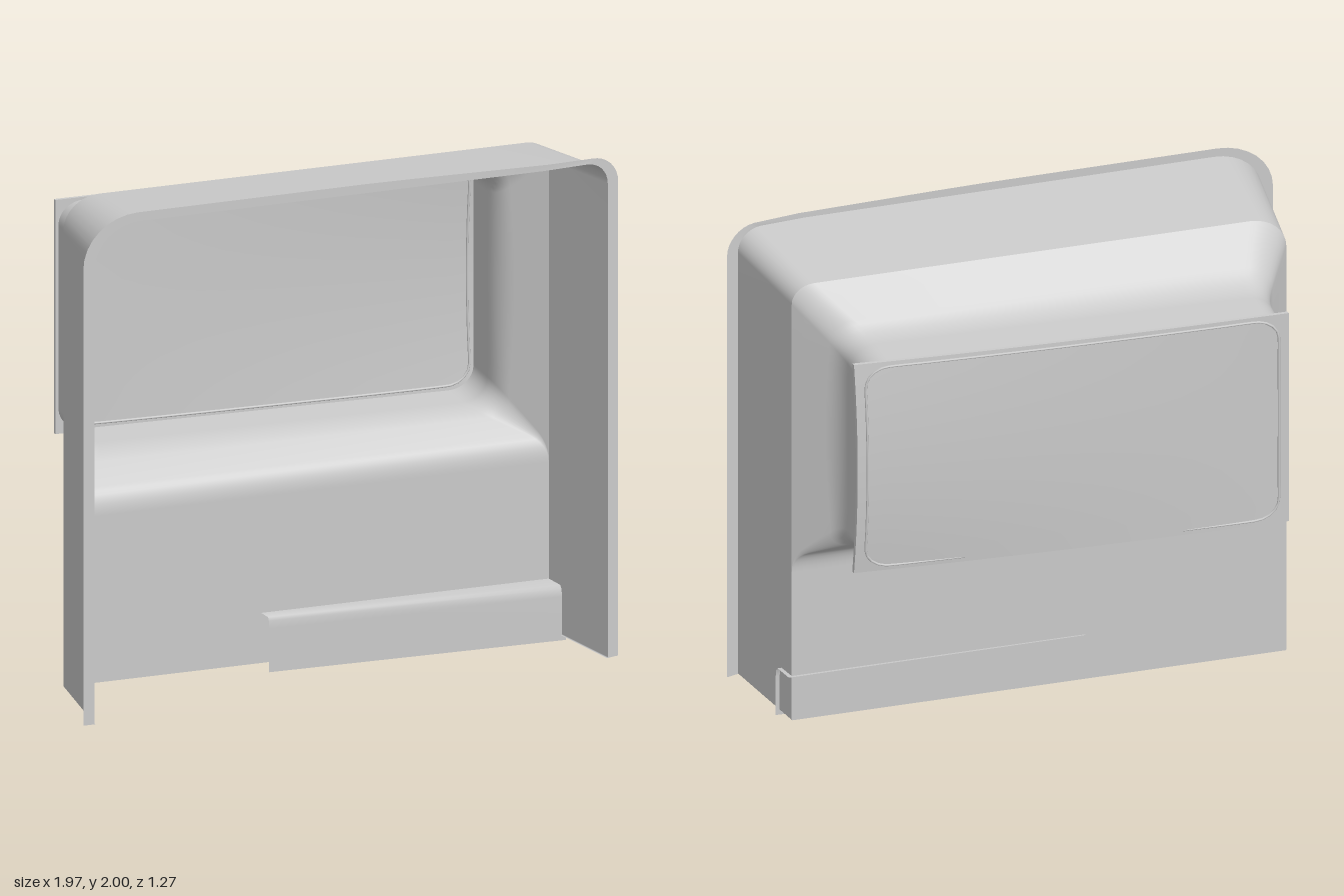
import * as THREE from 'three';

const grey = new THREE.MeshStandardMaterial({ color: 0xcccccc, side: THREE.DoubleSide });

// Slanted surfaces, each giving z for an x
const flangeZ = x => 0.36 + 0.32 * x - 0.5 * Math.max(0, x - 0.7) ** 2;
const wallZ = x => -0.305 + 0.331 * (x + 0.82);
const neckZ = x => -0.44 + 0.365 * (x + 0.66);
const paneZ = x => -0.632 + 0.373 * (x + 0.62);

// Rounded rectangle on a slanted surface, from bottom left over the top to bottom right.
// radii: bottom left, top left, top right, bottom right
function ring(xL, xR, yB, yT, radii, zAt) {
  const corners = [[xL, yB, 1, 1, 270], [xL, yT, 1, -1, 180], [xR, yT, -1, -1, 90], [xR, yB, -1, 1, 0]];
  const pts = [];
  const add = (x, y) => pts.push(new THREE.Vector3(x, y, zAt(x, y)));
  corners.forEach(([x, y, sx, sy, start], i) => {
    const r = radii[i], cx = x + sx * r, cy = y + sy * r;
    const first = pts.length;
    for (let k = 0; k <= 8; k++) {
      const a = THREE.MathUtils.degToRad(start - k * 90 / 8);
      add(cx + r * Math.cos(a), cy + r * Math.sin(a));
    }
    // subdivide the straight edge that leads to this corner
    if (i > 0) {
      const p = pts[first - 1], q = pts[first], extra = [];
      for (let k = 1; k < 10; k++) {
        const e = p.clone().lerp(q, k / 10);
        e.z = zAt(e.x, e.y);
        extra.push(e);
      }
      pts.splice(first, 0, ...extra);
    }
  });
  return pts;
}

// Replace the inner rings by rounded bends of size d
function fillet(rings, d) {
  const out = [rings[0]];
  for (let i = 1; i < rings.length - 1; i++) {
    const toward = (p, q) => {
      const len = p.distanceTo(q);
      return len < 1e-6 ? p.clone() : p.clone().lerp(q, Math.min(d / len, 0.45));
    };
    for (let k = 0; k <= 6; k++) {
      const t = k / 6;
      out.push(rings[i].map((p, j) => {
        const a = toward(p, rings[i - 1][j]), b = toward(p, rings[i + 1][j]);
        return a.lerp(p, t).lerp(p.clone().lerp(b, t), t);
      }));
    }
  }
  out.push(rings[rings.length - 1]);
  return out;
}

// Skin between successive point rows
function loft(name, rings, closed = false) {
  const n = rings[0].length, index = [];
  for (let i = 0; i < rings.length - 1; i++) {
    for (let j = 0; j < (closed ? n : n - 1); j++) {
      const k = (j + 1) % n;
      const a = i * n + j, b = i * n + k, c = a + n, e = b + n;
      index.push(a, b, c, b, e, c);
    }
  }
  const geo = new THREE.BufferGeometry().setFromPoints(rings.flat());
  geo.setIndex(index);
  geo.computeVertexNormals();
  const mesh = new THREE.Mesh(geo, grey);
  mesh.name = name;
  return mesh;
}

export function createModel() {
  const group = new THREE.Group();
  const s = 0.004; // nearly square corner

  // Mouth flange and the deep side walls, open at the bottom
  const outer = ring(-0.985, 0.985, 0.02, 2.0, [s, 0.2, 0.11, s], flangeZ);
  const mouth = ring(-0.945, 0.94, 0.02, 1.965, [s, 0.17, 0.09, s], flangeZ);
  const rear = ring(-0.82, 0.935, 0.02, 1.93, [s, 0.13, 0.08, s], wallZ);
  for (const p of outer) if (p.y > 1.8) p.y -= 0.02 * Math.max(0, p.x - 0.1);
  group.add(loft('mouthFlange', [outer, mouth]));
  group.add(loft('sideAndTopWall', [mouth, rear]));

  // Lower back wall, sloping shoulder and window neck in one smooth skin
  const shoulder = ring(-0.82, 0.935, 0.74, 1.93, [s, 0.13, 0.08, s], wallZ);
  const neck = ring(-0.655, 0.825, 0.855, 1.77, [0.09, 0.09, 0.09, 0.09], neckZ);
  const opening = ring(-0.61, 0.855, 0.865, 1.76, [0.09, 0.09, 0.09, 0.09], x => paneZ(x) + 0.004);
  group.add(loft('backWallAndWindowNeck', fillet([rear, shoulder, neck, opening], 0.07), true));

  // Window plate, bowed slightly outwards at its far end
  const bow = (x, y) => paneZ(x)
    - 0.025 * (x + 0.62) / 1.51 * (1 - ((y - 1.3125) / 0.4575) ** 2)
    - 0.012 * (1 - ((x - 0.135) / 0.755) ** 2);
  const plate = new THREE.BoxGeometry(1.51, 0.915, 0.012, 16, 12, 1);
  plate.translate(0.135, 1.3125, 0);
  const pos = plate.attributes.position;
  for (let i = 0; i < pos.count; i++) {
    pos.setZ(i, pos.getZ(i) + bow(pos.getX(i), pos.getY(i)));
  }
  plate.computeVertexNormals();
  const plateMesh = new THREE.Mesh(plate, grey);
  plateMesh.name = 'windowPlate';
  group.add(plateMesh);

  // Thin seals round the pane, inside and outside
  const seal = (name, inset, offset) => {
    const r = 0.085;
    const path = new THREE.CatmullRomCurve3(
      ring(-0.62 + inset, 0.89 - inset, 0.855 + inset * 0.6, 1.77 - inset * 0.6,
        [r, r, r, r], (x, y) => bow(x, y) + offset), true);
    const mesh = new THREE.Mesh(new THREE.TubeGeometry(path, 160, 0.005, 6, true), grey);
    mesh.name = name;
    group.add(mesh);
  };
  seal('outerSeal', 0.035, -0.006);
  seal('innerSeal', 0.045, 0.008);

  // Folded sill bracket in front of the lower back wall
  const bracketRow = (x, depth) => [[1, 0], [1, 0.17], [0.96, 0.2], [0.85, 0.213], [-0.12, 0.216]]
    .map(([f, y]) => new THREE.Vector3(x, y, wallZ(x) + f * depth));
  group.add(loft('sillBracket', [bracketRow(-0.105, 0.05), bracketRow(0.95, 0.08)]));

  return group;
}
